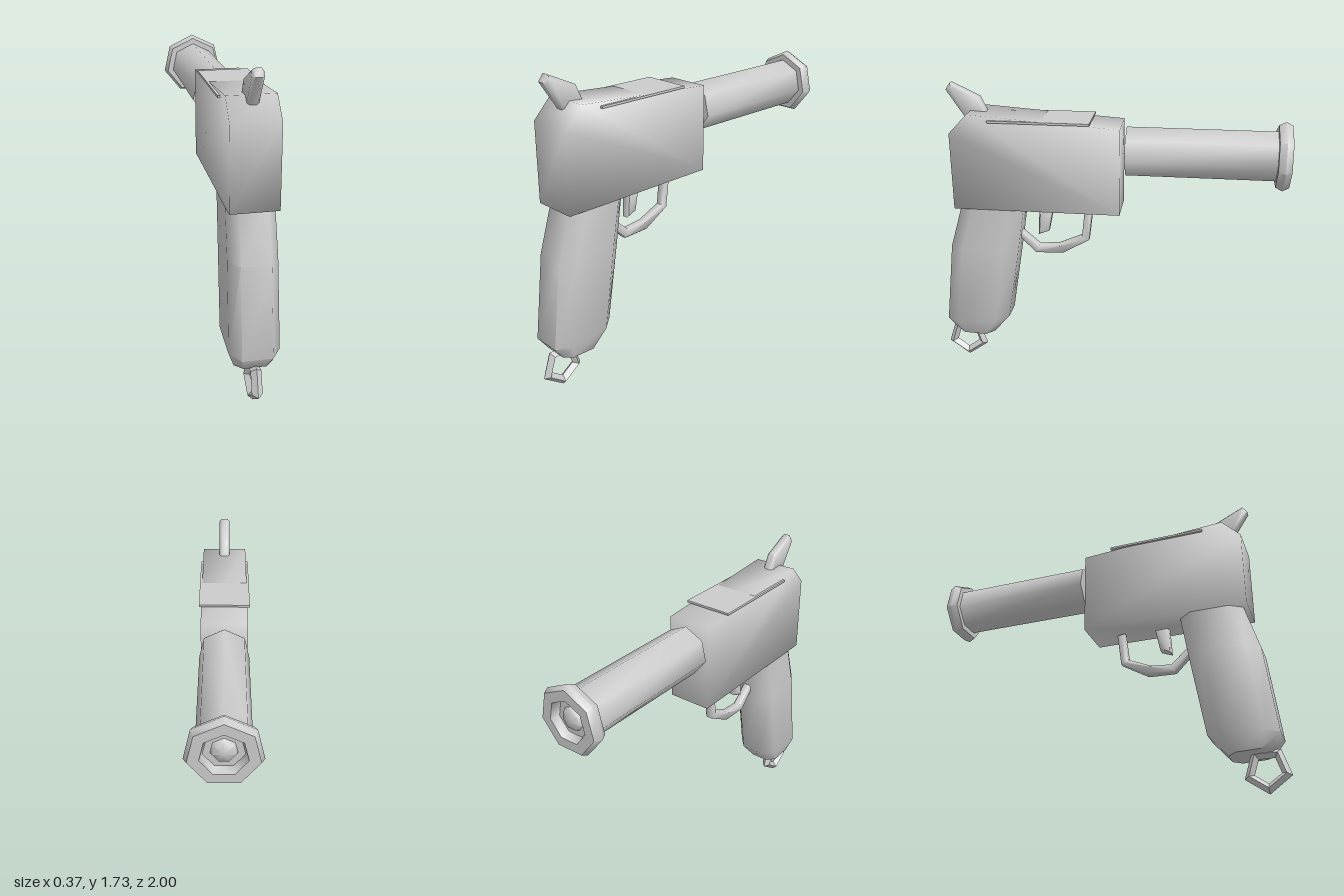
import * as THREE from 'three';
import { toCreasedNormals } from 'three/addons/utils/BufferGeometryUtils.js';

export function createModel() {
  const model = new THREE.Group();
  const grey = new THREE.MeshStandardMaterial({ color: 0xcccccc });
  grey.name = 'light grey';

  function add(name, geometry, crease) {
    const mesh = new THREE.Mesh(toCreasedNormals(geometry, crease), grey);
    mesh.name = name;
    model.add(mesh);
    return mesh;
  }

  // Side outline of [z, y] points, extruded across x and centred
  function slab(outline, halfWidth, bevel = 0) {
    const shape = new THREE.Shape(outline.map(([z, y]) => new THREE.Vector2(-z, y)));
    const depth = 2 * (halfWidth - bevel);
    const g = new THREE.ExtrudeGeometry(shape, {
      depth, bevelEnabled: bevel > 0, bevelSize: bevel, bevelOffset: -bevel,
      bevelThickness: bevel, bevelSegments: 1,
    });
    g.translate(0, 0, -depth / 2);
    return g.rotateY(Math.PI / 2);
  }

  // Seven-sided turned part along the bore; points are [radius, distance forward]
  function turned(points) {
    const g = new THREE.LatheGeometry(points.map(([r, d]) => new THREE.Vector2(r, d)), 7);
    return g.rotateX(-Math.PI / 2).translate(0, 1.377, 0);
  }

  // Body
  add('body', slab([[0.86, 1.037], [0.86, 1.475], [0.755, 1.585], [-0.085, 1.527], [-0.085, 1.037]], 0.125), 1.65);

  // Thin level plate breaking through the sloping top
  const plate = add('topPlate', new THREE.BoxGeometry(0.275, 0.012, 0.56), 0.5);
  plate.position.set(0, 1.551, 0.36);

  // Barrel, muzzle flange with a recessed bore and a pointed plug
  add('barrel', turned([[0, 0.11], [0.137, 0.11], [0.137, 0.94]]), 0.95);
  add('muzzle', turned([
    [0.13, 0.927], [0.172, 0.927], [0.19, 0.965], [0.172, 1.0],
    [0.115, 1.0], [0.1, 0.955], [0.065, 0.955], [0.055, 0.975], [0, 0.99],
  ]), 0.95);

  // Grip: chamfered rectangular sections, [y front, y back, z front, z back, half width]
  const sections = [
    [0.205, 0.214, 0.69, 0.91, 0.1],
    [0.326, 0.294, 0.588, 0.968, 0.132],
    [0.78, 0.78, 0.512, 0.91, 0.128],
    [1.08, 1.08, 0.465, 0.82, 0.124],
  ];
  const positions = [];
  const index = [];
  for (const [yf, yb, zf, zb, w] of sections) {
    const c = (zb - zf) * 0.2;
    const ring = [[w * 0.5, zf], [w, zf + c], [w, zb - c], [w * 0.6, zb],
      [-w * 0.6, zb], [-w, zb - c], [-w, zf + c], [-w * 0.5, zf]];
    for (const [x, z] of ring) positions.push(x, yf + (yb - yf) * (z - zf) / (zb - zf), z);
  }
  const n = 8;
  for (let r = 0; r < sections.length - 1; r++) {
    for (let i = 0; i < n; i++) {
      const a = r * n + i, b = r * n + (i + 1) % n;
      index.push(a, a + n, b, b, a + n, b + n);
    }
  }
  const top = (sections.length - 1) * n;
  for (let i = 1; i < n - 1; i++) {
    index.push(0, i, i + 1);
    index.push(top, top + i + 1, top + i);
  }
  const grip = new THREE.BufferGeometry();
  grip.setAttribute('position', new THREE.Float32BufferAttribute(positions, 3));
  grip.setIndex(index);
  add('grip', grip, 1.0);

  // Hammer
  add('hammer', slab([[0.893, 1.695], [0.866, 1.733], [0.706, 1.658], [0.66, 1.56], [0.79, 1.54]], 0.03, 0.012), 0.9);

  // Trigger and its guard
  add('trigger', slab([[0.39, 1.016], [0.31, 1.016], [0.337, 0.88], [0.4, 0.855]], 0.025, 0.008), 0.9);
  add('triggerGuard', slab([
    [0.53, 0.85], [0.5, 0.82], [0.417, 0.738], [0.257, 0.743], [0.102, 0.834], [0.08, 1.02],
    [0.125, 1.027], [0.144, 0.856], [0.278, 0.797], [0.396, 0.786], [0.492, 0.87], [0.53, 0.9],
  ], 0.025, 0.008), 0.9);

  // Five-sided lanyard ring under the grip
  const loop = new THREE.TorusGeometry(0.1, 0.028, 4, 5);
  loop.rotateZ(-Math.PI / 2).rotateY(Math.PI / 2).translate(0, 0.128, 0.876);
  add('lanyardRing', loop, 0.9);

  return model;
}
